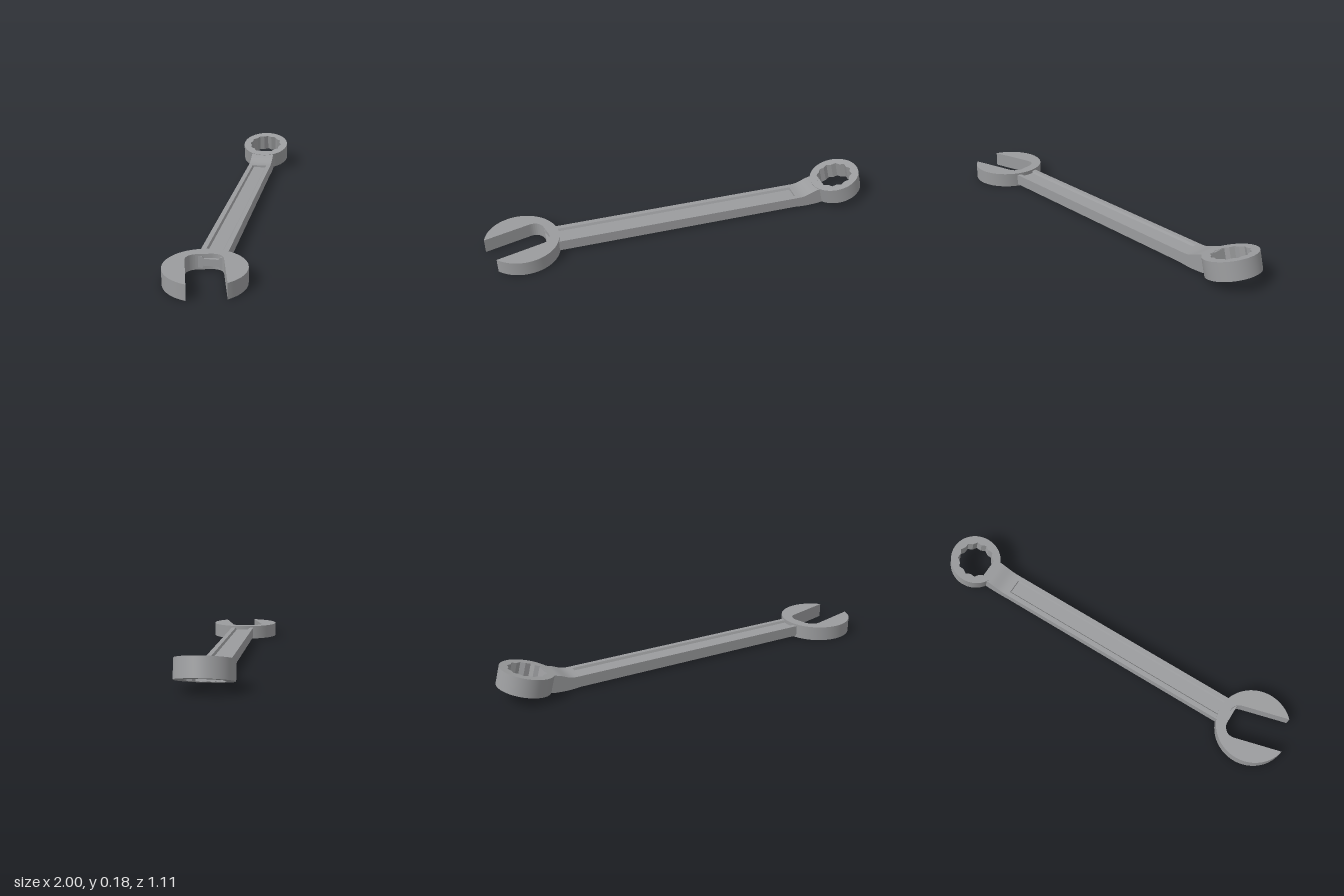
import * as THREE from 'three';
import { toCreasedNormals } from 'three/addons/utils/BufferGeometryUtils.js';

const HALF = 0.0685; // half width of the shaft
const steel = new THREE.MeshStandardMaterial({ color: 0x9a9b9d });
steel.name = 'steel';

function extrude(shape, depth, curveSegments = 32) {
  return new THREE.ExtrudeGeometry(shape, { depth, bevelEnabled: false, curveSegments });
}

function part(name, geometry) {
  const mesh = new THREE.Mesh(toCreasedNormals(geometry, 0.45), steel);
  mesh.name = name;
  return mesh;
}

const polygon = (points) => new THREE.Shape(points.map(([x, y]) => new THREE.Vector2(x, y)));

// Round head with a slot opening towards -x
function openJaw() {
  const r = 0.2, h = 0.092, a = Math.asin(h / r);
  const s = new THREE.Shape();
  s.absarc(0, 0, r, -Math.PI + a, Math.PI - a, false);
  s.lineTo(0.08, h);
  s.quadraticCurveTo(0.13, h, 0.14, 0.04);
  s.lineTo(0.14, -0.04);
  s.quadraticCurveTo(0.13, -h, 0.08, -h);
  s.closePath();
  const mesh = part('openJaw', extrude(s, 0.08).rotateX(-Math.PI / 2));
  mesh.rotation.y = THREE.MathUtils.degToRad(15);
  return mesh;
}

// Bar with a sloped groove along its top and bottom
function shaft() {
  const section = polygon([
    [-HALF, 0.01], [-0.043, 0.01], [-0.036, 0.022], [0.036, 0.022], [0.043, 0.01], [HALF, 0.01],
    [HALF, 0.07], [0.043, 0.07], [0.036, 0.058], [-0.036, 0.058], [-0.043, 0.07], [-HALF, 0.07],
  ]);
  return part('shaft', extrude(section, 1.427).rotateY(Math.PI / 2).translate(0.128, 0, 0));
}

// Solid end of the bar, bending up to the ring
function neck() {
  const s = new THREE.Shape();
  s.moveTo(1.555, 0.01);
  s.quadraticCurveTo(1.62, 0.002, 1.70, 0.01);
  s.lineTo(1.752, 0.025);
  s.lineTo(1.728, 0.114);
  s.lineTo(1.68, 0.102);
  s.bezierCurveTo(1.64, 0.092, 1.62, 0.07, 1.575, 0.07);
  s.lineTo(1.555, 0.07);
  s.closePath();
  return part('neck', extrude(s, 2 * HALF, 10).translate(0, 0, -HALF));
}

// Tilted ring with a twelve-point bore
function boxRing() {
  const s = new THREE.Shape();
  s.absarc(0, 0, 0.14, 0, Math.PI * 2, false);
  const bore = [];
  for (let i = 0; i < 24; i++) {
    const r = i % 2 ? 0.0915 : 0.102, a = -i * Math.PI / 12;
    bore.push(new THREE.Vector2(r * Math.cos(a), r * Math.sin(a)));
  }
  s.holes.push(new THREE.Path(bore));
  const depth = 0.097;
  const mesh = part('boxRing', extrude(s, depth).translate(0, 0, -depth / 2).rotateX(-Math.PI / 2));
  mesh.position.set(1.823, 0.0925, 0);
  mesh.rotation.z = THREE.MathUtils.degToRad(15);
  return mesh;
}

export function createModel() {
  const wrench = new THREE.Group();
  wrench.name = 'combinationWrench';
  wrench.add(openJaw(), shaft(), neck(), boxRing());
  wrench.position.set(-0.8, 0, 0.356);
  wrench.rotation.y = THREE.MathUtils.degToRad(25);
  const model = new THREE.Group();
  model.name = 'model';
  model.add(wrench);
  return model;
}
